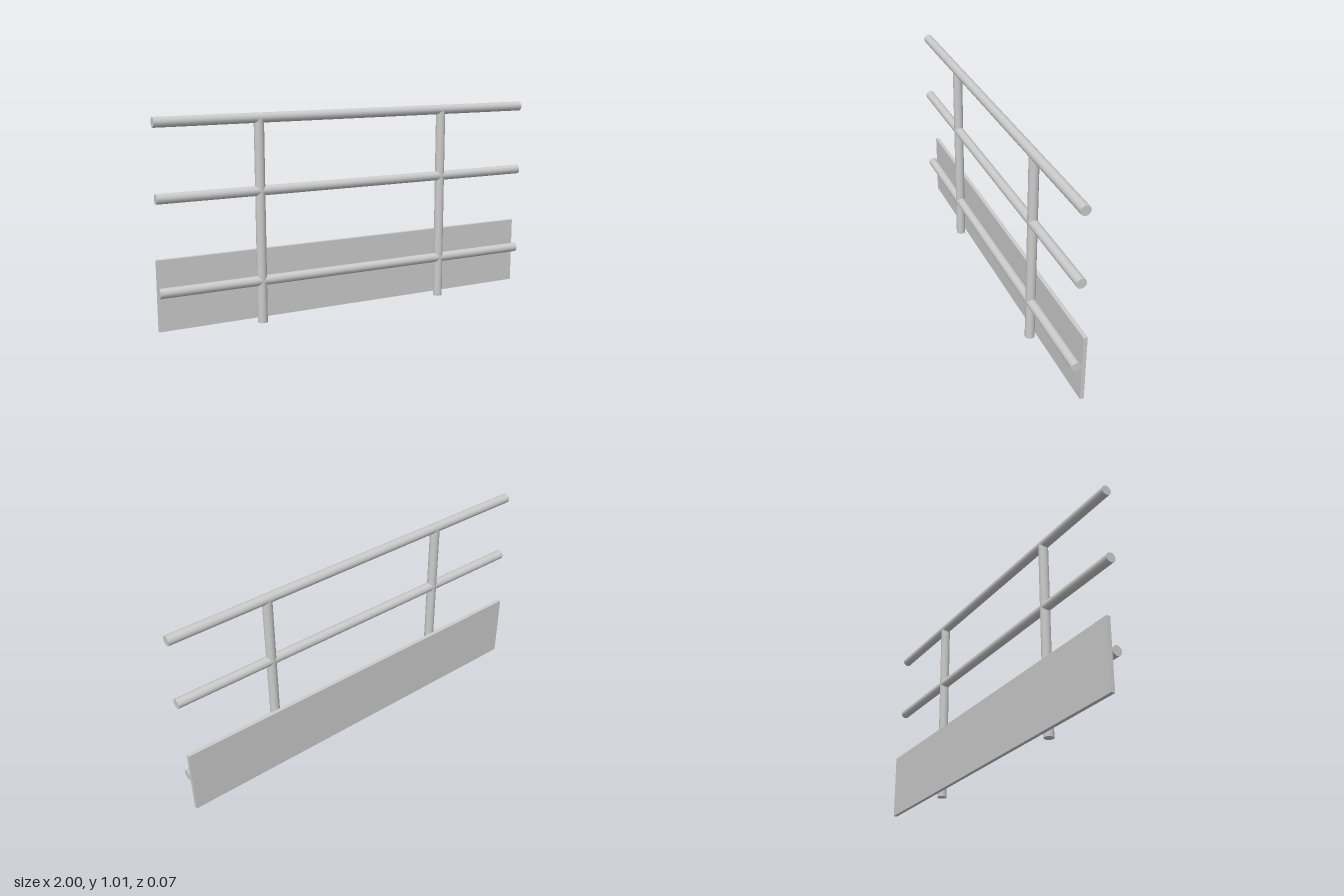
import * as THREE from 'three';

const RADIUS = 0.024;
const TUBE_Z = 0.01;

export function createModel() {
  const group = new THREE.Group();
  group.name = 'guardrail';
  const material = new THREE.MeshStandardMaterial({ color: 0xcccccc });

  const add = (name, geometry, x, y, z) => {
    const mesh = new THREE.Mesh(geometry, material);
    mesh.name = name;
    mesh.position.set(x, y, z);
    group.add(mesh);
    return mesh;
  };

  // Horizontal rails along the full width
  const rails = { topRail: 0.987, middleRail: 0.644, bottomRail: 0.207 };
  const railGeometry = new THREE.CylinderGeometry(RADIUS, RADIUS, 2, 16).rotateZ(Math.PI / 2);
  for (const [name, y] of Object.entries(rails)) add(name, railGeometry, 0, y, TUBE_Z);

  // Upright posts, ending inside the top rail
  const postHeight = rails.topRail;
  const postGeometry = new THREE.CylinderGeometry(RADIUS, RADIUS, postHeight, 16);
  for (const [name, x] of [['leftPost', 0.5], ['rightPost', -0.5]]) {
    add(name, postGeometry, x, postHeight / 2, TUBE_Z);
  }

  // Flat kick board fixed behind the posts
  add('kickBoard', new THREE.BoxGeometry(2, 0.34, 0.019), 0, 0.187, -0.0245);

  return group;
}
